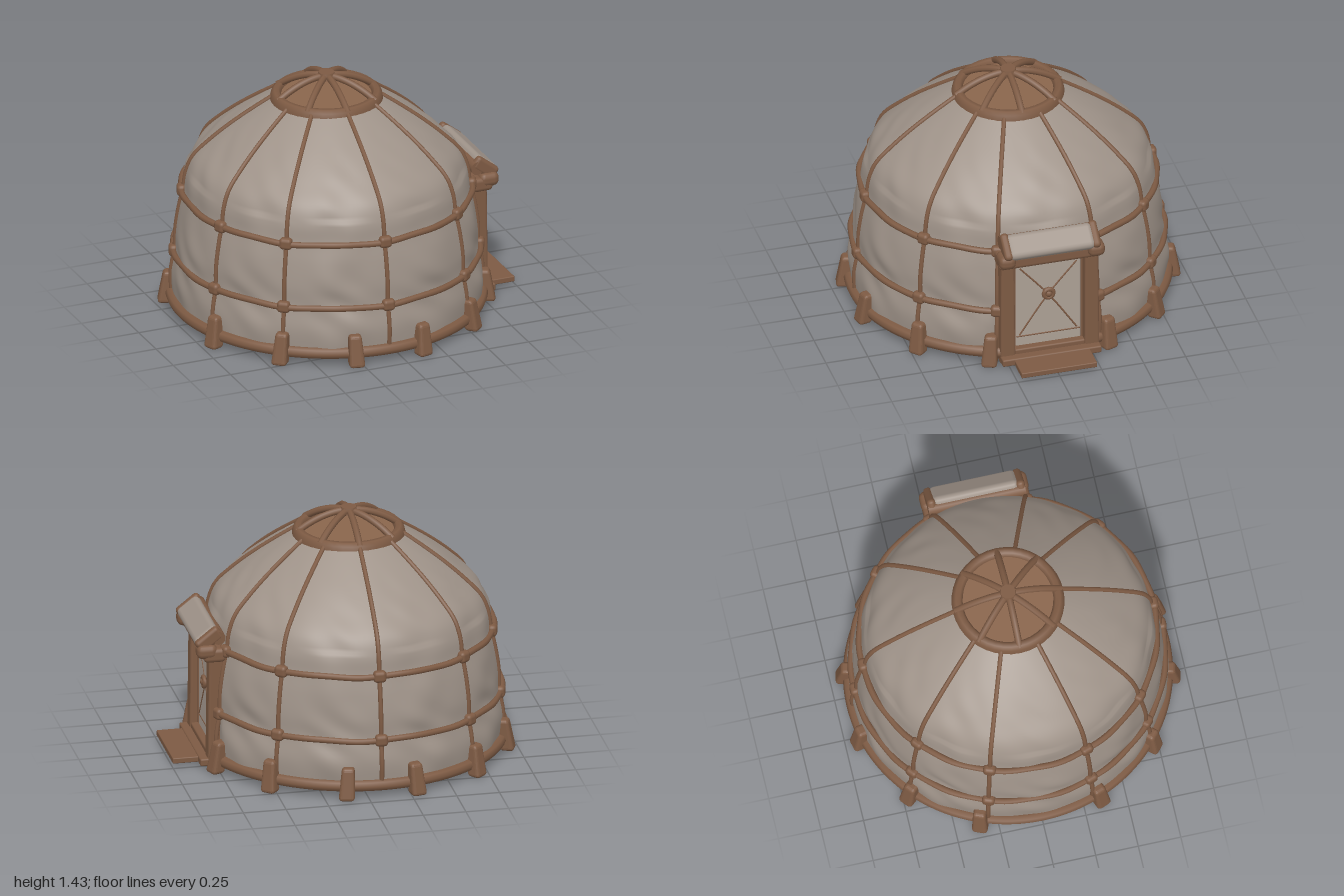
import * as THREE from 'three';
import { RoundedBoxGeometry } from 'three/addons/geometries/RoundedBoxGeometry.js';

const CX = -0.08; // axis of the round tent
const SZ = 1.028; // the plan is slightly wider along z
const DOOR_X = 0.735; // flat wall plane behind the door
const RAD = Math.PI / 180;

const material = (name, color, side = THREE.FrontSide) => {
  const m = new THREE.MeshStandardMaterial({ color, side });
  m.name = name;
  return m;
};

export function createModel() {
  const wood = material('brown wood', 0x7d5a43);
  const board = material('light wood', 0x8a654c);
  const fabric = material('grey fabric', 0x9f9389, THREE.DoubleSide);
  const pale = material('pale fabric', 0xaca095);
  const dark = material('dark underside', 0x6c4e3c);
  const model = new THREE.Group();
  model.name = 'roundTent';

  const add = (name, geometry, mat, x = 0, y = 0, z = 0, parent = model) => {
    const mesh = new THREE.Mesh(geometry, mat);
    mesh.name = name;
    mesh.position.set(x, y, z);
    parent.add(mesh);
    return mesh;
  };
  const polar = (r, y, a) => new THREE.Vector3(CX + r * Math.cos(a), y, SZ * r * Math.sin(a));
  const tube = (name, points, radius, segments = 32) =>
    add(name, new THREE.TubeGeometry(new THREE.CatmullRomCurve3(points), segments, radius, 8), wood);
  const box = (name, w, h, d, mat, x, y, z, bevel = 0.01) =>
    add(name, new RoundedBoxGeometry(w, h, d, 2, bevel), mat, x, y, z);

  // Cover profile, pinched slightly at the two rails
  const profile = new THREE.CatmullRomCurve3([
    [0.88, 0.05], [0.888, 0.2], [0.865, 0.34], [0.862, 0.46], [0.842, 0.6],
    [0.816, 0.72], [0.802, 0.82], [0.762, 0.92], [0.665, 1.02], [0.545, 1.12],
    [0.42, 1.21], [0.3, 1.29],
  ].map(([r, y]) => new THREE.Vector3(r, y, 0)));

  // Fabric cover with soft folds and a flat stretch at the door
  const lathe = new THREE.LatheGeometry(
    profile.getPoints(66).map((p) => new THREE.Vector2(p.x, p.y)), 160);
  const pos = lathe.attributes.position;
  for (let i = 0; i < pos.count; i++) {
    let x = pos.getX(i), z = pos.getZ(i);
    const y = pos.getY(i), a = Math.atan2(z, x);
    const between = Math.cos(5 * (a - 18 * RAD)) ** 2; // one at the ribs
    const fade = Math.min(1, (1.29 - y) * 4);
    const folds = 0.006 * Math.sin(7 * a + 13 * y + 2 * Math.sin(3 * a))
      + 0.005 * Math.sin(17 * a - 23 * y + 2 * Math.sin(9 * y));
    const sag = y > 0.85 ? -0.01 : 0.004;
    const k = 1 + (folds + sag) * (1 - between) * fade;
    x = x * k + CX;
    if (y < 0.74) x = Math.min(x, DOOR_X);
    pos.setXYZ(i, x, y, z * k * SZ);
  }
  lathe.computeVertexNormals();
  add('cover', lathe, fabric);

  // Floor and base ring
  const floor = add('floor', new THREE.CylinderGeometry(0.875, 0.875, 0.02, 64), dark, CX, 0.055, 0);
  floor.scale.z = SZ;
  const basePoints = [];
  for (let d = 16; d <= 344; d += 4) basePoints.push(polar(0.888, 0.07, d * RAD));
  tube('baseRing', basePoints, 0.034, 120);

  // Ten ribs over wall and roof, with knots at the rails
  const rails = [[0.34, 0.876], [0.715, 0.83]];
  for (const side of [1, -1]) {
    for (const d of [19.5, 50, 90, 130, 160.5]) {
      const a = side * d * RAD;
      tube('rib', profile.getPoints(24).map((p) => polar(p.x + 0.003, p.y + 0.002, a)), 0.0135, 48);
      for (const [y, r] of rails) {
        const p = polar(r, y, a);
        const knot = box('knot', 0.055, 0.07, 0.075, wood, p.x, p.y, p.z, 0.022);
        knot.rotation.y = -a;
      }
    }
  }
  for (const [y, r] of rails) {
    const points = [];
    for (let d = 18; d <= 342; d += 4) {
      points.push(polar(r + 0.003 * Math.sin(d * 0.3), y + 0.004 * Math.cos(d * 0.17), d * RAD));
    }
    tube('rail', points, 0.019, 140);
  }

  // Twelve stakes leaning against the base ring
  for (const side of [1, -1]) {
    for (const [i, d] of [22, 48.5, 77, 103, 130.5, 158].entries()) {
      const a = side * d * RAD;
      const stake = new THREE.Group();
      stake.name = 'stake';
      stake.position.copy(polar(0.91, 0.095, a));
      stake.rotation.y = -a;
      model.add(stake);
      const g = new RoundedBoxGeometry(0.08, 0.19, 0.085, 2, 0.02);
      const v = g.attributes.position;
      for (let n = 0; n < v.count; n++) {
        const t = v.getY(n) / 0.19 + 0.5; // narrower and leaning inwards at the top
        v.setX(n, v.getX(n) * (1.05 - 0.15 * t) - 0.03 * (t - 0.5));
        v.setZ(n, v.getZ(n) * (1.1 - 0.25 * t) + 0.008 * (i % 2 ? t : -t));
      }
      g.computeVertexNormals();
      add('stakePost', g, wood, 0, 0, 0, stake);
    }
  }

  // Crown: ring, board and arched spokes
  add('crownRing', new THREE.LatheGeometry([
    [0.26, 1.245], [0.318, 1.238], [0.33, 1.255], [0.318, 1.305], [0.3, 1.322],
    [0.275, 1.322], [0.26, 1.3], [0.26, 1.245],
  ].map(([r, y]) => new THREE.Vector2(r, y)), 40), wood, CX, 0, 0);
  add('crownBoard', new THREE.CylinderGeometry(0.27, 0.27, 0.02, 40), board, CX, 1.285, 0);
  for (let k = 0; k < 8; k++) {
    const arch = [0.3, 0.24, 0.18, 0.12, 0.06, 0].map((r) =>
      polar(r, 1.3 + 0.11 * (1 - (r / 0.3) ** 2), k * 45 * RAD));
    tube('crownSpoke', arch, 0.02, 16);
  }
  add('crownHub', new THREE.CylinderGeometry(0.045, 0.055, 0.04, 12), wood, CX, 1.412, 0);

  // Door frame
  for (const s of [1, -1]) {
    const g = new RoundedBoxGeometry(0.12, 0.68, 0.085, 2, 0.014);
    const v = g.attributes.position;
    for (let n = 0; n < v.count; n++) {
      const k = 1 - 0.12 * (v.getY(n) / 0.68);
      v.setZ(n, v.getZ(n) * k);
      v.setX(n, v.getX(n) * k);
    }
    g.computeVertexNormals();
    add('doorPost', g, wood, 0.742, 0.345, s * 0.25);
    box('lintelEnd', 0.12, 0.085, 0.1, wood, 0.81, 0.718, s * 0.265, 0.035);
  }
  box('lintel', 0.13, 0.085, 0.62, wood, 0.765, 0.695, 0, 0.025);
  box('doorHead', 0.05, 0.04, 0.42, wood, 0.755, 0.65, 0);

  // Door panel with crossed cords and a centre boss
  box('doorPanel', 0.03, 0.56, 0.39, pale, 0.742, 0.36, 0);
  for (const s of [1, -1]) {
    tube('doorCord', [[0.16, 0.17], [0.41, 0], [0.61, -0.17]].map(([y, z]) =>
      new THREE.Vector3(0.757, y, s * z)), 0.005, 8);
    box('doorEdge', 0.035, 0.56, 0.012, wood, 0.743, 0.36, s * 0.2, 0.004);
  }
  box('doorHem', 0.034, 0.01, 0.38, wood, 0.743, 0.15, 0, 0.004);
  const boss = add('doorBoss', new THREE.TorusGeometry(0.028, 0.014, 8, 12), wood, 0.768, 0.42, 0);
  boss.rotation.y = Math.PI / 2;
  add('doorBossCentre', new THREE.SphereGeometry(0.022, 10, 8), wood, 0.768, 0.42, 0);

  // Awning sloping down and outwards, on a back bar and two end logs
  const awning = box('awning', 0.155, 0.07, 0.51, fabric, 0.802, 0.79, 0, 0.03);
  awning.rotation.z = -38 * RAD;
  const bar = add('awningBar', new THREE.CylinderGeometry(0.04, 0.04, 0.57, 14), wood, 0.74, 0.795, 0);
  bar.rotation.x = Math.PI / 2;
  for (const s of [1, -1]) {
    const log = box('awningEnd', 0.165, 0.085, 0.05, wood, 0.793, 0.785, s * 0.262, 0.022);
    log.rotation.z = -38 * RAD;
  }

  // Threshold and step
  box('threshold', 0.2, 0.045, 0.59, wood, 0.75, 0.038, 0);
  box('sill', 0.08, 0.04, 0.42, wood, 0.76, 0.07, 0);
  box('step', 0.2, 0.034, 0.45, wood, 0.897, 0.035, 0, 0.006);

  return model;
}
